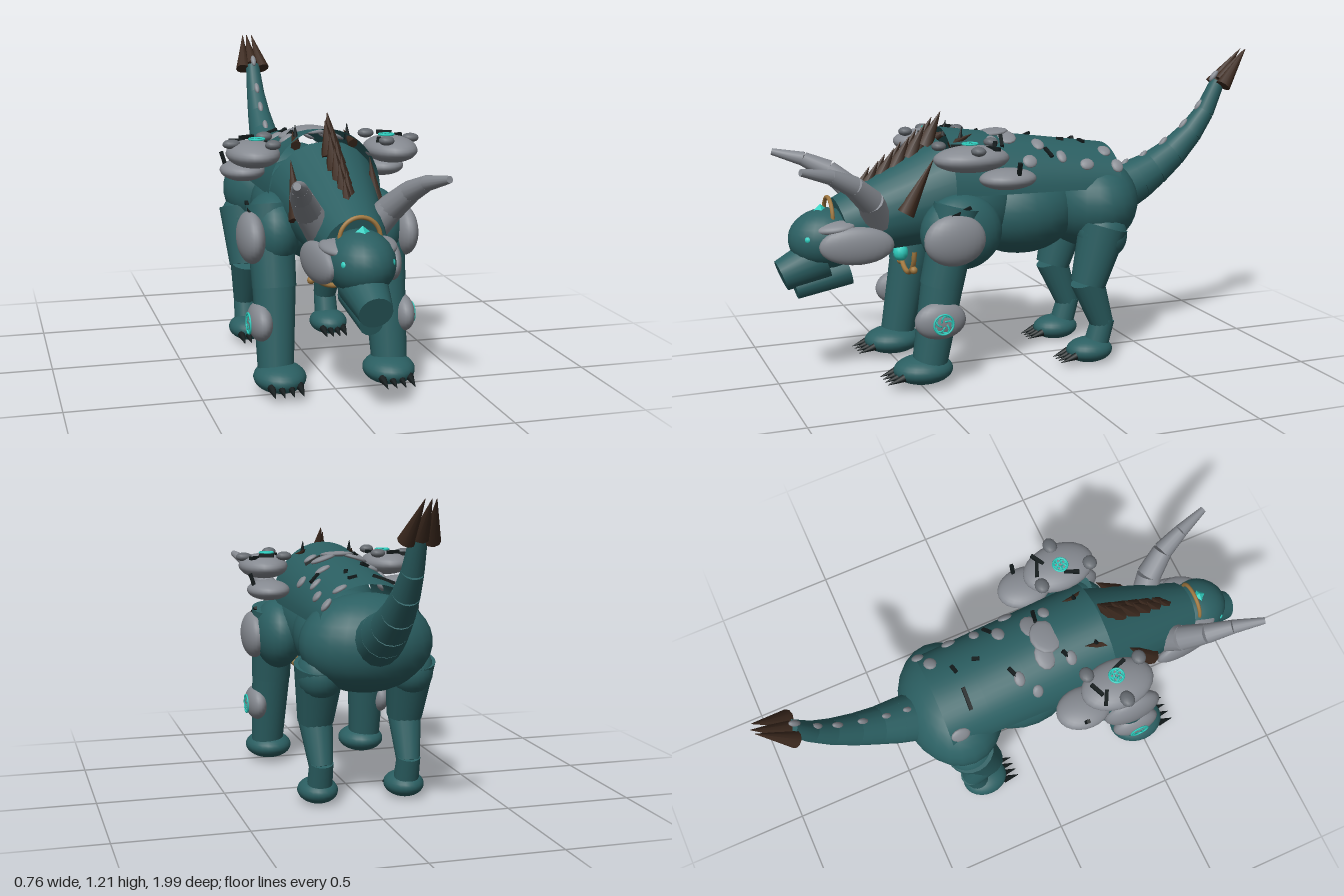
import * as THREE from 'three';

const mat = (name, color, side = THREE.FrontSide) => {
  const m = new THREE.MeshStandardMaterial({ color, side });
  m.name = name;
  return m;
};

export function createModel() {
  const root = new THREE.Group();
  root.name = 'hornedBeast';
  const teal = mat('teal hide', 0x2b5f62), shellTeal = mat('teal shell', 0x2b5f62, THREE.DoubleSide);
  const grey = mat('stone grey', 0x868a91), darkGrey = mat('dark stone', 0x666b71);
  const brown = mat('dark brown', 0x3d2a1f), black = mat('claw black', 0x121a1b);
  const cyan = mat('glowing cyan', 0x2fcfc0), gold = mat('gold', 0xa07840);
  const V = (a) => new THREE.Vector3(...a);
  const UP = new THREE.Vector3(0, 1, 0);

  const add = (name, geo, m, pos = [0, 0, 0], rot = [0, 0, 0]) => {
    const mesh = new THREE.Mesh(geo, m);
    mesh.name = name;
    mesh.position.set(...pos);
    mesh.rotation.set(...rot);
    root.add(mesh);
    return mesh;
  };
  const blob = (name, m, pos, r, rot, seg = 24) =>
    add(name, new THREE.SphereGeometry(1, seg, Math.round(seg * 0.7)).scale(...r), m, pos, rot);
  // tapered round limb from point a to point b
  const limb = (name, m, a, b, ra, rb, seg = 16) => {
    const d = V(b).sub(V(a));
    const mesh = add(name, new THREE.CylinderGeometry(rb, ra, d.length(), seg), m);
    mesh.position.copy(V(a)).addScaledVector(d, 0.5);
    mesh.quaternion.setFromUnitVectors(UP, d.normalize());
    return mesh;
  };
  const chain = (name, m, pts, seg) => {
    for (let i = 0; i < pts.length - 1; i++)
      limb(name, m, pts[i].slice(0, 3), pts[i + 1].slice(0, 3), pts[i][3], pts[i + 1][3], seg);
  };

  // Torso
  blob('chest', teal, [0, 0.66, 0.27], [0.21, 0.21, 0.23]);
  blob('belly', teal, [0, 0.62, 0.02], [0.205, 0.18, 0.24]);
  blob('hips', teal, [0, 0.635, -0.275], [0.26, 0.19, 0.195]);

  // Back shell: open half arch, tapering to the rear
  const zF = 0.35, zR = -0.34;
  const arch = (z) => {
    const t = (zF - z) / (zF - zR);
    return { cy: 0.72 - 0.01 * t, rx: 0.215 - 0.015 * t, ry: 0.24 - 0.085 * t };
  };
  const shell = new THREE.PlaneGeometry(1, 1, 24, 4);
  const sp = shell.attributes.position;
  for (let i = 0; i < sp.count; i++) {
    const a = (0.5 - sp.getX(i)) * Math.PI, z = zR + (0.5 - sp.getY(i)) * (zF - zR), s = arch(z);
    sp.setXYZ(i, s.rx * Math.cos(a), s.cy + s.ry * Math.sin(a), z);
  }
  shell.computeVertexNormals();
  add('backShell', shell, shellTeal);
  // point and tilt on the shell at x, z
  const onShell = (x, z) => {
    const s = arch(z), c = Math.min(0.98, Math.abs(x) / s.rx), h = Math.sqrt(1 - c * c);
    return { y: s.cy + s.ry * h, tilt: -Math.sign(x) * Math.atan2(c / s.rx, h / s.ry) };
  };
  for (const [x, z, rx, rz] of [
    [0, 0.13, 0.07, 0.06], [-0.065, 0.1, 0.055, 0.04], [0.065, 0.1, 0.055, 0.04], [-0.18, -0.3, 0.03, 0.04],
    [0.11, -0.3, 0.032, 0.026], [0.17, -0.33, 0.03, 0.025], [-0.1, -0.02, 0.03, 0.022], [0.1, -0.02, 0.035, 0.025],
    [0.15, -0.1, 0.03, 0.02], [0.17, 0.04, 0.028, 0.03], [-0.16, 0.03, 0.028, 0.022], [0.1, 0.17, 0.03, 0.022],
    [-0.11, 0.19, 0.03, 0.022], [0.17, -0.2, 0.025, 0.03]]) {
    const s = onShell(x, z);
    blob('shellScale', grey, [x, s.y, z], [rx, 0.012, rz], [0.1, 0, s.tilt], 12);
  }
  for (const [x, z, len, yaw] of [[-0.085, -0.23, 0.09, 0], [0.04, -0.23, 0.035, 0.2], [0.04, -0.14, 0.03, 1.2],
    [-0.08, -0.03, 0.07, 0.5], [0.1, 0.13, 0.07, -0.3], [-0.1, 0.18, 0.06, 0.6], [0.14, -0.05, 0.05, 0.4]]) {
    const s = onShell(x, z);
    add('shellCrack', new THREE.BoxGeometry(len, 0.012, 0.014), black, [x, s.y + 0.003, z], [0.1, yaw, s.tilt]);
  }

  // Neck, head, snout and jaw
  limb('neck', teal, [0, 0.72, 0.31], [0, 0.6, 0.74], 0.205, 0.115, 20);
  blob('head', teal, [0, 0.56, 0.8], [0.12, 0.115, 0.145]);
  limb('snout', teal, [0, 0.49, 0.82], [0, 0.428, 0.975], 0.088, 0.06, 20);
  limb('jaw', teal, [0, 0.43, 0.72], [0, 0.375, 0.925], 0.058, 0.042);

  // Mane of overlapping spikes
  for (let i = 0; i < 10; i++) {
    const t = i / 9, x = (i % 2 ? 1 : -1) * 0.008;
    const y = 0.69 + 0.2 * t, z = 0.69 - 0.28 * t;
    limb('maneSpike', brown, [x, y, z], [x, y + 0.13, z - 0.065], 0.036, 0.001, 6);
  }

  // Forehead crest
  add('crestGem', new THREE.OctahedronGeometry(1).scale(0.055, 0.045, 0.05), cyan, [0, 0.647, 0.82]);
  add('crestRing', new THREE.TorusGeometry(0.073, 0.008, 8, 24, Math.PI), gold, [0, 0.642, 0.79]);

  // Chest amulet
  add('amuletRing', new THREE.TorusGeometry(0.1, 0.01, 8, 24, Math.PI), gold, [0, 0.5, 0.485], [0, 0, Math.PI]);
  blob('amuletGem', cyan, [0, 0.48, 0.51], [0.03, 0.035, 0.03], undefined, 12);

  // Tail with ridge bumps and spiked tip
  const tail = [[0, 0.655, -0.4, 0.1], [0, 0.7, -0.5, 0.088], [0, 0.74, -0.575, 0.074], [0, 0.8, -0.66, 0.062],
    [0, 0.88, -0.745, 0.05], [0, 0.965, -0.81, 0.04], [0, 1.09, -0.87, 0.03]];
  chain('tailSegment', teal, tail);
  for (const [, y, z, r] of tail.slice(1))
    blob('tailBump', grey, [0, y + r * 0.75, z + r * 0.65], [0.012, 0.028, 0.012], [-0.7, 0, 0], 10);
  for (const s of [-1, 0, 1])
    limb('tailSpike', brown, [s * 0.044, s ? 1.075 : 1.09, s ? -0.87 : -0.885],
      [s * 0.02, 1.22, s ? -0.985 : -0.995], 0.032, 0.001, 10);

  // Carved rune of rings facing +z
  const rune = (pos, rot, r) => {
    add('runeRing', new THREE.TorusGeometry(r, 0.004, 6, 18), cyan, pos, rot);
    add('runeCore', new THREE.TorusKnotGeometry(r * 0.6, 0.004, 48, 5, 2, 5), cyan, pos, rot).scale.z = 0.25;
  };
  const paw = (name, x, y, z, r) => {
    blob(name, teal, [x, y, z], r);
    for (let i = -1.5; i <= 1.5; i++) {
      const cx = x + i * r[0] * 0.36, cz = z + r[2] * 0.78;
      limb('claw', black, [cx, y - 0.01, cz], [cx, y - 0.03, cz + 0.065], 0.016, 0.001, 8);
    }
  };

  for (const s of [-1, 1]) {
    // Face
    blob('eye', cyan, [s * 0.08, 0.575, 0.885], [0.016, 0.016, 0.016], undefined, 12);
    blob('cheekPlate', grey, [s * 0.13, 0.548, 0.715], [0.035, 0.072, 0.14], [0, -s * 0.12, 0]);
    blob('browPlate', grey, [s * 0.085, 0.615, 0.79], [0.048, 0.022, 0.08], [0.1, -s * 0.35, -s * 0.15]);
    chain('horn', grey, [[s * 0.09, 0.63, 0.62, 0.058], [s * 0.15, 0.715, 0.665, 0.05], [s * 0.195, 0.785, 0.74, 0.04],
      [s * 0.225, 0.83, 0.83, 0.028], [s * 0.262, 0.86, 0.945, 0.013]], 14);
    limb('neckSpike', brown, [s * 0.15, 0.66, 0.53], [s * 0.15, 0.86, 0.42], 0.036, 0.001, 8);
    blob('amuletBead', gold, [s * 0.09, 0.425, 0.485], [0.015, 0.015, 0.015], undefined, 12);
    limb('shellThorn', black, [s * 0.1, 0.91, 0.3], [s * 0.1, 0.97, 0.29], 0.013, 0.001, 6);
    limb('shoulderThorn', brown, [s * 0.11, 0.9, 0.34], [s * 0.1, 0.94, 0.25], 0.02, 0.001, 6);

    // Pauldron
    blob('pauldronUpper', grey, [s * 0.265, 0.872, 0.31], [0.098, 0.05, 0.145]);
    blob('pauldronLower', grey, [s * 0.275, 0.79, 0.17], [0.085, 0.04, 0.11]);
    for (const [x, y, z, rx] of [[0.345, 0.91, 0.31, 0.034], [0.2, 0.92, 0.21, 0.032], [0.215, 0.918, 0.42, 0.03]])
      blob('pauldronKnob', darkGrey, [s * x, y, z], [rx, 0.018, 0.028], undefined, 12);
    rune([s * 0.25, 0.926, 0.31], [-Math.PI / 2, 0, 0], 0.028);
    for (const [x, y, z, yaw] of [[0.31, 0.912, 0.24, 0.5], [0.27, 0.922, 0.22, -0.4], [0.21, 0.912, 0.34, 1.2]])
      add('pauldronCrack', new THREE.BoxGeometry(0.06, 0.014, 0.014), black, [s * x, y, z], [0, s * yaw, 0]);
    add('pauldronStrap', new THREE.BoxGeometry(0.014, 0.05, 0.014), black, [s * 0.345, 0.835, 0.15], [0, 0, -s * 0.3]);

    // Front leg
    blob('shoulder', teal, [s * 0.2, 0.585, 0.33], [0.1, 0.145, 0.16]);
    limb('frontUpperLeg', teal, [s * 0.215, 0.69, 0.35], [s * 0.212, 0.39, 0.415], 0.088, 0.082, 20);
    limb('frontLowerLeg', teal, [s * 0.212, 0.41, 0.41], [s * 0.22, 0.08, 0.47], 0.081, 0.066, 20);
    blob('shoulderPlate', grey, [s * 0.292, 0.575, 0.385], [0.05, 0.097, 0.12]);
    add('shoulderCrack', new THREE.BoxGeometry(0.012, 0.012, 0.08), black, [s * 0.295, 0.68, 0.36], [0.4, 0, 0]);
    blob('kneePlate', grey, [s * 0.272, 0.27, 0.44], [0.045, 0.072, 0.1]);
    rune([s * 0.315, 0.265, 0.44], [0, s * Math.PI / 2, 0], 0.038);
    paw('frontPaw', s * 0.21, 0.07, 0.49, [0.097, 0.055, 0.115]);

    // Hind leg
    blob('thighTop', teal, [s * 0.18, 0.52, -0.265], [0.09, 0.1, 0.1]);
    limb('thigh', teal, [s * 0.18, 0.56, -0.27], [s * 0.18, 0.33, -0.205], 0.098, 0.07, 20);
    limb('shin', teal, [s * 0.18, 0.345, -0.2], [s * 0.175, 0.16, -0.27], 0.068, 0.046);
    limb('ankle', teal, [s * 0.175, 0.18, -0.275], [s * 0.175, 0.06, -0.24], 0.046, 0.05);
    paw('hindPaw', s * 0.175, 0.057, -0.215, [0.078, 0.05, 0.095]);
  }
  return root;
}
